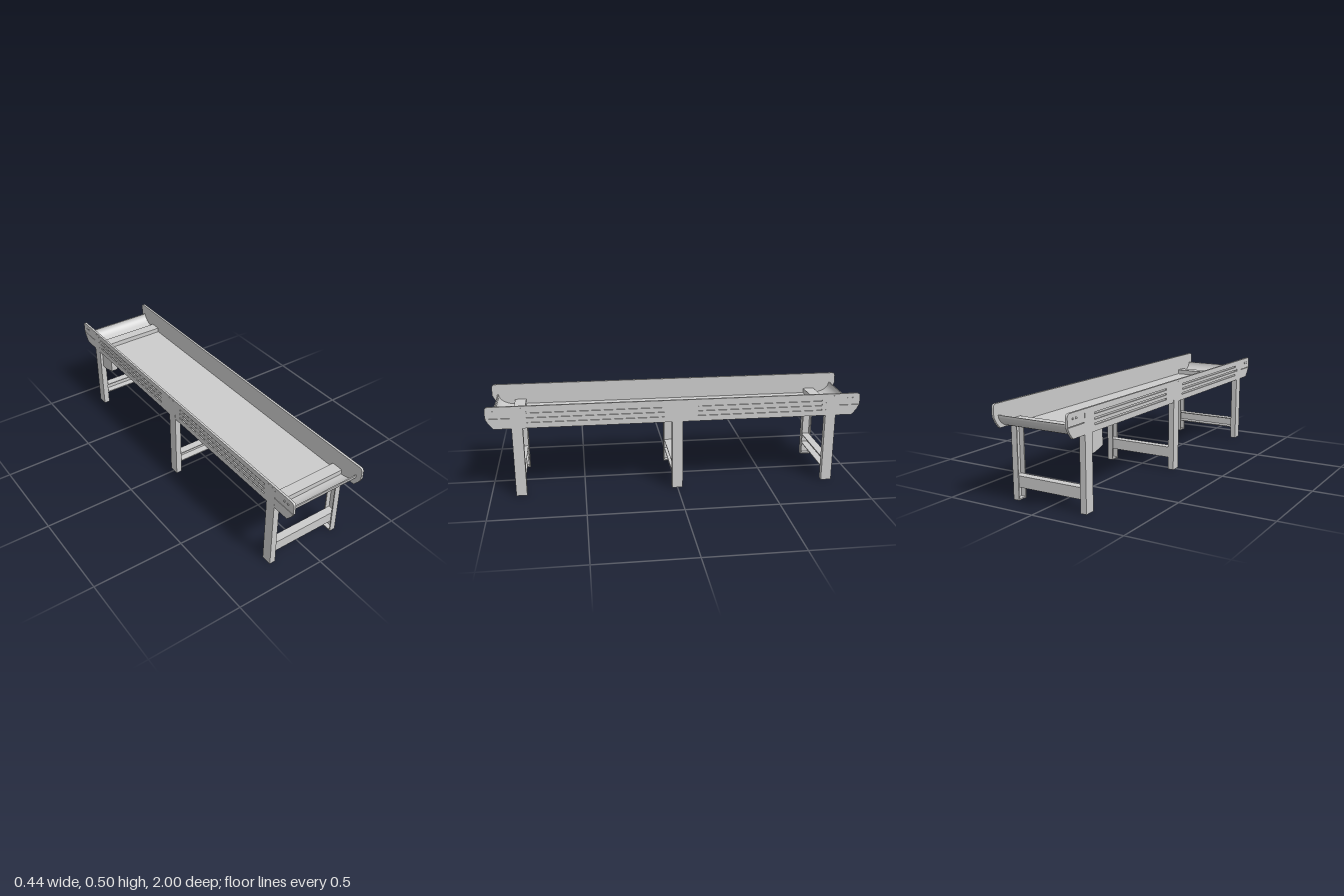
import * as THREE from 'three';
import { toCreasedNormals } from 'three/addons/utils/BufferGeometryUtils.js';

const material = new THREE.MeshStandardMaterial({ color: 0xcccccc });

function add(parent, name, geometry) {
  const mesh = new THREE.Mesh(geometry, material);
  mesh.name = name;
  parent.add(mesh);
  return mesh;
}

// Box given by its min and max corners
function box(parent, name, [x0, y0, z0], [x1, y1, z1]) {
  const g = new THREE.BoxGeometry(x1 - x0, y1 - y0, z1 - z0);
  g.translate((x0 + x1) / 2, (y0 + y1) / 2, (z0 + z1) / 2);
  return add(parent, name, g);
}

// Extrude a (z, y) outline across x0..x1
function across(parent, name, shape, x0, x1) {
  let g = new THREE.ExtrudeGeometry(shape, { depth: x1 - x0, bevelEnabled: false, curveSegments: 8 });
  g.rotateY(-Math.PI / 2);
  g.translate(x1, 0, 0);
  return add(parent, name, toCreasedNormals(g, 0.5));
}

// Side rail outline: rounded upper corners, cut lower corners
function railShape() {
  const s = new THREE.Shape();
  s.moveTo(-0.96, 0.38);
  s.lineTo(0.96, 0.38);
  s.lineTo(0.985, 0.41);
  s.lineTo(1, 0.437);
  s.lineTo(1, 0.48);
  s.quadraticCurveTo(1, 0.5, 0.98, 0.5);
  s.lineTo(-0.98, 0.5);
  s.quadraticCurveTo(-1, 0.5, -1, 0.48);
  s.lineTo(-1, 0.437);
  s.lineTo(-0.985, 0.41);
  s.closePath();
  return s;
}

function slot(z0, z1, y, h) {
  return new THREE.Path([[z0, y - h / 2], [z0, y + h / 2], [z1, y + h / 2], [z1, y - h / 2]]
    .map(([a, b]) => new THREE.Vector2(a, b)));
}

function addRail(parent, side) {
  const rail = new THREE.Group();
  rail.name = side > 0 ? 'leftRail' : 'rightRail';
  const skin = railShape();
  for (const y of [0.414, 0.44, 0.466]) {
    skin.holes.push(slot(0.07, 0.79, y, 0.009), slot(-0.79, -0.11, y, 0.009));
  }
  skin.holes.push(slot(0.87, 0.997, 0.437, 0.003), slot(-0.997, -0.87, 0.437, 0.003));
  const span = (a, b) => (side > 0 ? [a, b] : [-b, -a]);
  across(rail, 'railCore', railShape(), ...span(0.203, 0.209));
  across(rail, 'slottedRailSkin', skin, ...span(0.209, 0.215));
  // Bolt heads at the rail ends
  for (const end of [-1, 1]) {
    for (const z of [0.935, 0.96]) {
      const bolt = add(rail, 'railBolt', new THREE.CylinderGeometry(0.006, 0.006, 0.004, 12));
      bolt.rotation.z = Math.PI / 2;
      bolt.position.set(side * 0.216, 0.472, end * z);
    }
  }
  parent.add(rail);
}

// Channel leg, open towards the middle, with a foot plate
function addLeg(parent, side, z) {
  const leg = new THREE.Group();
  leg.name = 'leg';
  const w = 0.0285, t = 0.006;
  const part = (name, x0, x1, y0, y1, z0, z1) =>
    box(leg, name, [Math.min(side * x0, side * x1), y0, z0], [Math.max(side * x0, side * x1), y1, z1]);
  part('legWeb', 0.209, 0.2155, 0, 0.49, z - w, z + w);
  part('legFlange', 0.183, 0.209, 0, 0.379, z - w, z - w + t);
  part('legFlange', 0.183, 0.209, 0, 0.379, z + w - t, z + w);
  part('footPlate', 0.183, 0.209, 0, t, z - w + t, z + w - t);
  parent.add(leg);
}

// Channel brace between two legs; its web faces the given direction
function addBrace(parent, z, facing) {
  const brace = new THREE.Group();
  brace.name = 'crossBrace';
  const d = 0.022, t = 0.005, x = 0.208;
  const web = z + facing * (d - t / 2);
  box(brace, 'braceWeb', [-x, 0.066, web - t / 2], [x, 0.124, web + t / 2]);
  box(brace, 'braceFlange', [-x, 0.066, z - d], [x, 0.066 + t, z + d]);
  box(brace, 'braceFlange', [-x, 0.124 - t, z - d], [x, 0.124, z + d]);
  parent.add(brace);
}

export function createModel() {
  const model = new THREE.Group();
  model.name = 'conveyorTrough';

  // Flat bed whose ends curl upwards
  const outer = [], inner = [];
  for (let i = 0; i <= 14; i++) {
    const a = (i / 14) * Math.PI / 2;
    outer.push([0.87 + 0.1 * Math.sin(a), 0.443 - 0.065 * Math.cos(a)]);
    inner.push([0.87 + 0.094 * Math.sin(a), 0.443 - 0.059 * Math.cos(a)]);
  }
  const flip = (list) => list.map(([z, y]) => [-z, y]);
  const profile = [...outer, ...[...inner].reverse(), ...flip(inner), ...flip(outer).reverse()];
  across(model, 'bed', new THREE.Shape(profile.map(([z, y]) => new THREE.Vector2(z, y))), -0.204, 0.204);

  for (const side of [-1, 1]) addRail(model, side);

  // Three leg frames
  for (const z of [-0.84, -0.0, 0.84]) {
    for (const side of [-1, 1]) addLeg(model, side, z);
    addBrace(model, z, z > 0.1 ? 1 : -1);
  }

  // Raised bars across the bed near both ends
  for (const end of [-1, 1]) {
    const z = end * 0.842;
    box(model, 'bedCrossBar', [-0.203, 0.377, z - 0.031], [0.203, 0.41, z + 0.031]);
  }

  // Control box hung under the bed beside a rear leg
  const control = new THREE.Shape([[-0.825, 0.379], [-0.825, 0.273], [-0.77, 0.273], [-0.703, 0.293], [-0.703, 0.379]]
    .map(([z, y]) => new THREE.Vector2(z, y)));
  across(model, 'controlBox', control, -0.2, -0.161);

  return model;
}
